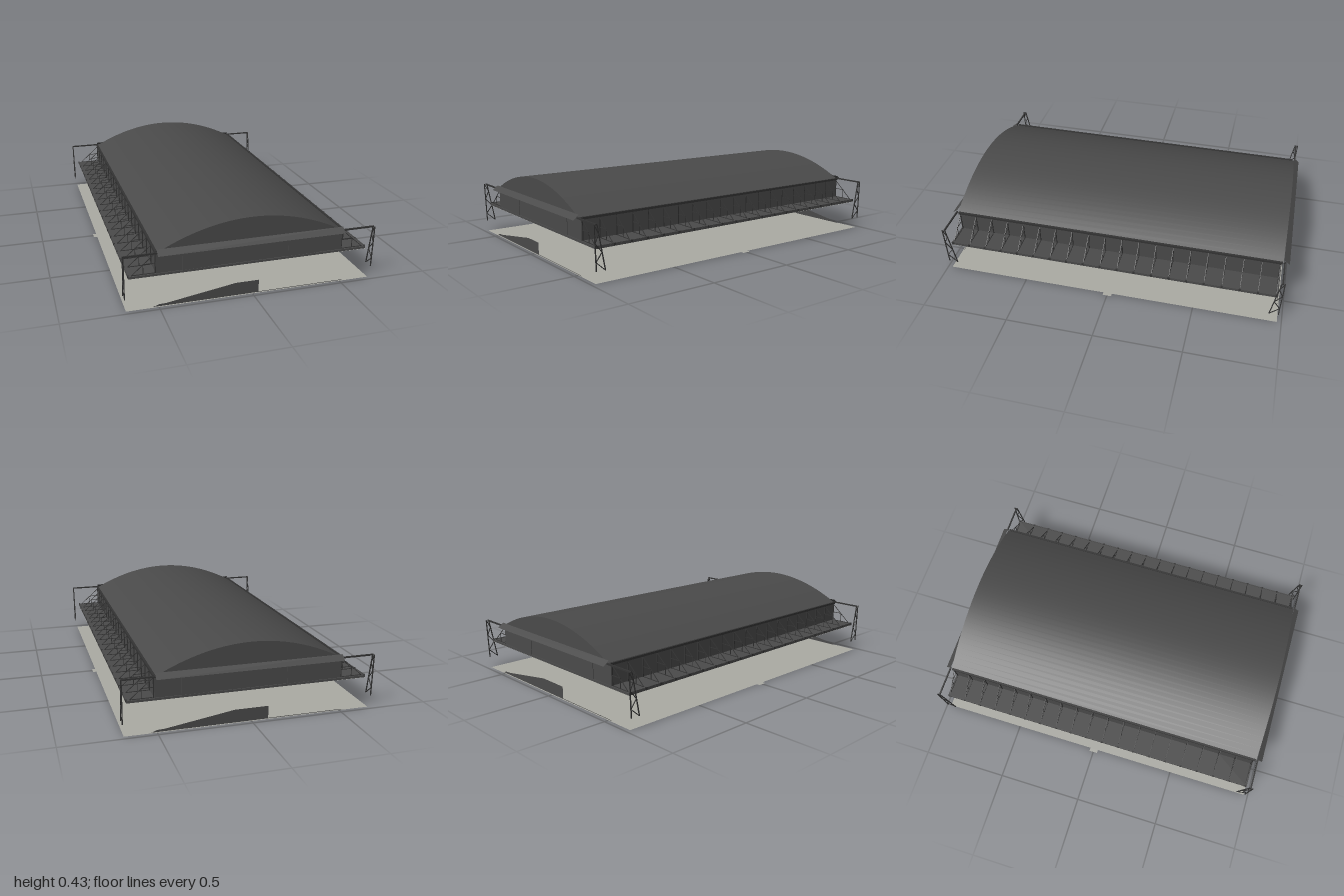
import * as THREE from 'three';
import { toCreasedNormals } from 'three/addons/utils/BufferGeometryUtils.js';

export function createModel() {
  const root = new THREE.Group();
  root.name = 'hangar';
  const material = (name, color, side = THREE.FrontSide) =>
    Object.assign(new THREE.MeshStandardMaterial({ color, side }), { name });
  const grey = material('charcoal panel', 0x4a4a4a);
  const sheet = material('charcoal sheet', 0x4a4a4a, THREE.DoubleSide);
  const steel = material('dark steel', 0x343434);
  const concrete = material('pale concrete', 0xaaaaa3, THREE.DoubleSide);

  const add = (parent, name, geo, mat) => {
    const mesh = new THREE.Mesh(geo, mat);
    mesh.name = name;
    parent.add(mesh);
    return mesh;
  };
  const box = (parent, name, size, pos, mat) => {
    const mesh = add(parent, name, new THREE.BoxGeometry(...size), mat);
    mesh.position.set(...pos);
    return mesh;
  };
  // Flat horizontal sheet
  const flat = (parent, name, width, depth, pos, mat) => {
    const mesh = add(parent, name, new THREE.PlaneGeometry(width, depth).rotateX(-Math.PI / 2), mat);
    mesh.position.set(...pos);
    return mesh;
  };
  // Square bar between two points
  const bar = (parent, name, a, b, t = 0.003) => {
    const p = new THREE.Vector3(...a), q = new THREE.Vector3(...b);
    const mesh = add(parent, name, new THREE.BoxGeometry(t, t, p.distanceTo(q)), steel);
    mesh.position.copy(p).add(q).multiplyScalar(0.5);
    mesh.lookAt(q);
    return mesh;
  };

  // Ground sheet, pale on both faces
  flat(root, 'ground', 1.34, 1.95, [0, 0, 0], concrete);

  // Raised floor deck with a pale soffit
  box(root, 'floorDeck', [1.3, 0.012, 1.92], [0, 0.174, 0], grey);
  flat(root, 'deckSoffit', 1.3, 1.92, [0, 0.167, 0], concrete);

  // Main hall walls
  box(root, 'hallWalls', [1.015, 0.122, 1.91], [0, 0.235, 0], grey);

  // Barrel roof with gable ends
  const roofShape = new THREE.Shape();
  roofShape.moveTo(-0.505, 0.29);
  roofShape.lineTo(0.505, 0.29);
  for (let i = 0; i <= 32; i++) {
    const x = 0.505 - (1.01 * i) / 32;
    roofShape.lineTo(x, 0.43 - 0.53 * x * x);
  }
  const roof = new THREE.ExtrudeGeometry(roofShape, { depth: 1.93, bevelEnabled: false });
  roof.translate(0, 0, -0.965);
  add(root, 'barrelRoof', toCreasedNormals(roof, 0.4), grey);

  // Each end: sloping canopy, doors and low profile wall, repeated by a half turn
  for (const [name, turn, edge] of [['frontEnd', 0, 0.037], ['backEnd', Math.PI, 0.095]]) {
    const end = new THREE.Group();
    end.name = name;
    end.rotation.y = turn;
    root.add(end);

    const canopy = new THREE.PlaneGeometry(1.01, Math.hypot(0.025, 0.033));
    canopy.rotateX(-Math.atan2(0.033, 0.025));
    add(end, 'canopy', canopy, sheet).position.set(0, 0.3025, 0.983);
    for (const [x, width] of [[-0.295, 0.15], [0.28, 0.16]])
      box(end, 'doorPanel', [width, 0.11, 0.004], [x, 0.235, 0.956], grey);

    const profile = new THREE.Shape([
      [-0.53, 0], [0.53, 0], [0.5, 0.003], [edge, 0.003], [edge, 0.071],
      [-0.09, 0.071], [-0.46, 0.013], [-0.5, 0.011],
    ].map(([x, y]) => new THREE.Vector2(x, y)));
    add(end, 'lowProfileWall', new THREE.ShapeGeometry(profile), sheet).position.z = 0.968;
  }

  for (const s of [1, -1]) {
    const side = new THREE.Group();
    side.name = s > 0 ? 'leftSide' : 'rightSide';
    root.add(side);

    // Gutter, deck rail and ground tab
    box(side, 'gutter', [0.012, 0.012, 1.92], [s * 0.507, 0.295, 0], steel);
    box(side, 'deckRail', [0.005, 0.005, 1.92], [s * 0.647, 0.181, 0], grey);
    flat(side, 'groundTab', 0.02, 0.05, [s * 0.68, 0, 0], concrete);

    // Row of buttress frames
    for (let i = 0; i < 20; i++) {
      const z = -0.95 + 0.1 * i;
      const frame = new THREE.Group();
      frame.name = 'buttressFrame';
      side.add(frame);
      bar(frame, 'diagonal', [s * 0.508, 0.288, z], [s * 0.632, 0.181, z]);
      bar(frame, 'upright', [s * 0.572, 0.178, z], [s * 0.572, 0.235, z]);
      bar(frame, 'tie', [s * 0.508, 0.235, z], [s * 0.572, 0.235, z]);
      bar(frame, 'foot', [s * 0.515, 0.181, z], [s * 0.632, 0.181, z], 0.004);
      box(frame, 'footBlock', [0.008, 0.012, 0.012], [s * 0.648, 0.178, z], steel);
      box(frame, 'wallPost', [0.005, 0.115, 0.005], [s * 0.51, 0.235, z], steel);
    }

    // Flat corner lattice towers with beams to the hall
    for (const e of [1, -1]) {
      const tower = new THREE.Group();
      tower.name = 'cornerTower';
      side.add(tower);
      const x = s * (s === e ? 0.683 : 0.675);
      bar(tower, 'topBeam', [s * 0.5, 0.298, e * 0.972], [x, 0.298, e * 0.972], 0.008);
      const outer = (t) => e * (0.984 - 0.008 * t);
      const inner = (t) => e * (0.968 - 0.043 * t);
      const height = (t) => 0.3 - 0.235 * t;
      bar(tower, 'outerLeg', [x, height(0), outer(0)], [x, height(1), outer(1)], 0.005);
      bar(tower, 'innerLeg', [x, height(0), inner(0)], [x, height(1), inner(1)], 0.005);
      for (let i = 0; i < 5; i++) {
        const t = i / 5, u = (i + 1) / 5;
        const [from, to] = i % 2 ? [inner, outer] : [outer, inner];
        bar(tower, 'brace', [x, height(t), from(t)], [x, height(u), to(u)], 0.004);
      }
    }
  }
  return root;
}
